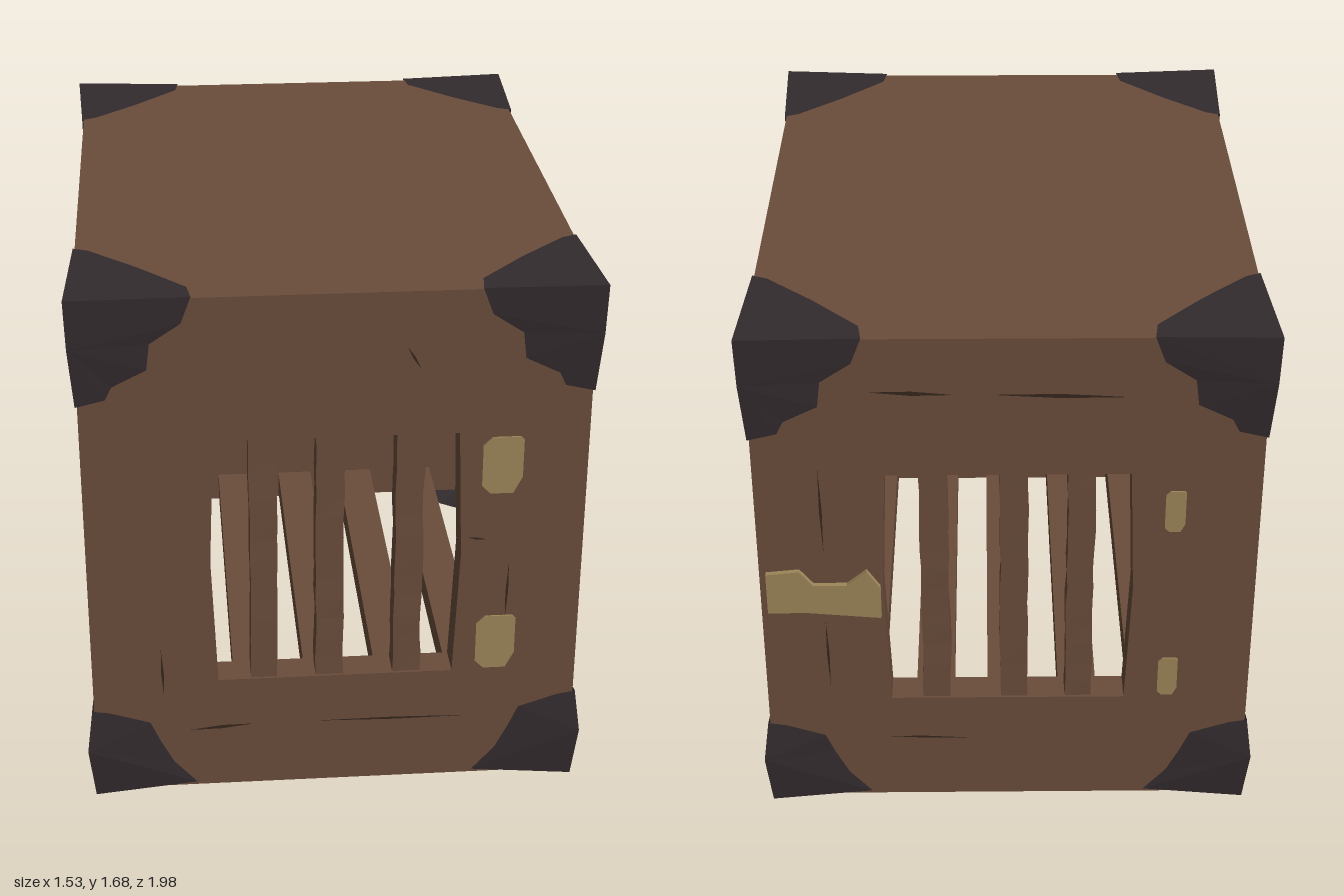
import * as THREE from 'three';

const mat = (name, color, side = THREE.FrontSide) =>
  Object.assign(new THREE.MeshStandardMaterial({ color, flatShading: true, side }), { name });

let seed = 7;
const rand = () => ((seed = (seed * 16807) % 2147483647) / 2147483647) - 0.5;

export function createModel() {
  const root = new THREE.Group();
  root.name = 'slattedCrate';
  const wood = mat('brown wood', 0x6a4d3b);
  const iron = mat('dark iron', 0x332b2e, THREE.DoubleSide);
  const brass = mat('dull brass', 0x9d865a);
  const crackMat = mat('dark crack', 0x35261d, THREE.DoubleSide);

  const add = (parent, name, geo, material, x = 0, y = 0, z = 0) => {
    const m = new THREE.Mesh(geo, material);
    m.name = name;
    m.position.set(x, y, z);
    parent.add(m);
    return m;
  };
  const polygon = (pts) => new THREE.Shape(pts.map(([x, y]) => new THREE.Vector2(x, y)));
  const plate = (pts, depth) => new THREE.ExtrudeGeometry(polygon(pts), { depth, bevelEnabled: false });
  const rect = (x0, y0, x1, y1) => [[x0, y0], [x1, y0], [x1, y1], [x0, y1]];

  const BOTTOM = 0.015, TOP = 1.67, T = 0.1;

  // Wooden bar, roughened level by level; all corners of a level are moved by the same rule
  const barGeometry = (w, h, d, rough) => {
    const geo = new THREE.BoxGeometry(w, h, d, 1, 12, 1);
    const p = geo.attributes.position;
    const levels = Array.from({ length: 13 }, () => [rand(), rand(), 1 + rand() * rough * 12]);
    for (let i = 0; i < p.count; i++) {
      const k = Math.round((p.getY(i) / h + 0.5) * 12);
      const [a, b, s] = levels[k];
      p.setX(i, p.getX(i) * s + a * rough);
      p.setZ(i, p.getZ(i) + b * rough * (p.getX(i) > 0 ? 0.5 : 0.2));
    }
    return geo;
  };

  // Framed panel with upright bars, facing +z; bars are [centre, width, roughness]
  const barredPanel = (name, halfW, hole, bars) => {
    const g = new THREE.Group();
    g.name = name;
    const shape = polygon(rect(-halfW, BOTTOM, halfW, TOP - 0.005));
    const [hw, y0, y1, bow] = hole;
    const ym = (y0 + y1) / 2;
    shape.holes.push(polygon([[-hw + bow, y0], [-hw, ym], [-hw + bow, y1],
      [hw - bow, y1], [hw, ym], [hw - bow, y0]]));
    add(g, 'panelFrame', new THREE.ExtrudeGeometry(shape, { depth: T, bevelEnabled: false }), wood, 0, 0, -T);
    bars.forEach(([c, w, rough]) =>
      add(g, 'bar', barGeometry(w, y1 - y0 + 0.02, 0.084, rough), wood, c, ym, -T / 2));
    root.add(g);
    return g;
  };

  // End panels
  const endBars = [[-0.216, 0.08, 0.005], [-0.018, 0.083, 0.005], [0.218, 0.083, 0.005]];
  const front = barredPanel('frontPanel', 0.64, [0.374, 0.4, 1.22, 0.016], endBars);
  front.position.z = 0.968;
  const back = barredPanel('backPanel', 0.64, [0.374, 0.4, 1.22, 0.016], endBars.map(([c, w, r]) => [-c, w, r]));
  back.position.z = -0.968;
  back.rotation.y = Math.PI;

  // Side panels, with two splintered bars each
  for (const s of [1, -1]) {
    const bars = [[0.56, 0.078, 0.006], [0.335, 0.078, 0.006], [0.11, 0.07, 0.028],
      [-0.118, 0.045, 0.028], [-0.342, 0.08, 0.008], [-0.565, 0.078, 0.006]];
    const side = barredPanel(s > 0 ? 'leftPanel' : 'rightPanel', 0.968, [0.757, 0.22, 1.42, 0.006],
      bars.map(([c, w, r]) => [-s * c, w, r]));
    side.position.x = s * 0.74;
    side.rotation.y = s * Math.PI / 2;
  }

  // Roof and floor slats
  add(root, 'roof', new THREE.BoxGeometry(1.48, 0.08, 1.936), wood, 0, TOP - 0.04, 0);
  for (let i = -2; i <= 2; i++)
    add(root, 'floorSlat', new THREE.BoxGeometry(0.125, 0.09, 1.76), wood, i * 0.235, 0.075, 0);

  // Hinge plates and latch
  const hinge = (parent, x, y, w, h) => {
    const a = w / 2, b = h / 2, c = w * 0.22;
    add(parent, 'hingePlate', plate([[-a, -b + c], [-a + c, -b], [a - c, -b], [a, -b + c * 2],
      [a, b - c * 0.4], [a - c * 0.4, b], [-a + c, b], [-a, b - c]], 0.005), brass, x, y, 0);
  };
  for (const y of [1.11, 0.5]) {
    hinge(front, 0.488, y, 0.12, 0.185);
    hinge(back, 0.49, y - 0.02, 0.06, 0.14);
  }
  add(back, 'latch', plate([[-0.72, 0.74], [-0.6, 0.74], [-0.38, 0.72], [-0.38, 0.83], [-0.42, 0.89],
    [-0.48, 0.84], [-0.58, 0.84], [-0.62, 0.89], [-0.72, 0.88]], 0.016), brass);

  // Cracks in the wood: thin slivers from one point to another
  const crack = (parent, x0, y0, x1, y1, w = 0.008) => {
    const len = Math.hypot(x1 - x0, y1 - y0), nx = -(y1 - y0) / len * w / 2, ny = (x1 - x0) / len * w / 2;
    const mx = (x0 + x1) / 2, my = (y0 + y1) / 2;
    add(parent, 'crack', new THREE.ShapeGeometry(polygon(
      [[x0, y0], [mx - nx, my - ny], [x1, y1], [mx + nx, my + ny]])), crackMat, 0, 0, 0.002);
  };
  [[-0.45, 0.222, -0.25, 0.236, 0.012], [-0.07, 0.236, 0.42, 0.232], [-0.53, 0.52, -0.525, 0.35],
    [0.52, 0.78, 0.515, 0.58], [0.2, 1.5, 0.24, 1.43], [0.39, 0.87, 0.45, 0.86]].forEach((c) => crack(front, ...c));
  [[-0.4, 1.5, -0.15, 1.49, 0.014], [-0.05, 1.49, 0.35, 1.48, 0.014], [-0.4, 0.25, -0.1, 0.24],
    [-0.55, 0.7, -0.545, 0.45], [-0.55, 1.25, -0.545, 0.95]].forEach((c) => crack(back, ...c));

  // Corner caps: three ragged-edged faces fanned around the corner and a point on its upright edge.
  // frontEdge lists [x, distance from the end], sideEdge lists [z, distance from the end],
  // flatEdge lists [x, z] across the top or bottom.
  const capGeometry = (frontEdge, sideEdge, flatEdge, corner, mid, y0, dir, sx, sz) => {
    const F = frontEdge.map(([x, d]) => [x, y0 + dir * d, 0.973]);
    const S = sideEdge.map(([z, d]) => [0.745, y0 + dir * d, z]);
    F[F.length - 1] = S[S.length - 1] = [0.746, F[F.length - 1][1], 0.974];
    const tris = [];
    const fan = (c, pts) => pts.slice(1).forEach((p, i) => tris.push([c, pts[i], p]));
    fan(mid, [corner, ...F]);
    fan(mid, [...S.reverse(), corner]);
    fan(corner, [S[S.length - 1], ...flatEdge.map(([x, z]) => [x, y0, z]), F[0]]);
    const flip = sx * sz * -dir < 0;
    const pos = tris.flatMap(([a, b, c]) => (flip ? [a, c, b] : [a, b, c]))
      .flatMap(([x, y, z]) => [x * sx, y, z * sz]);
    const geo = new THREE.BufferGeometry();
    geo.setAttribute('position', new THREE.Float32BufferAttribute(pos, 3));
    geo.computeVertexNormals();
    return geo;
  };
  const topFront = [[0.41, 0], [0.44, 0.08], [0.53, 0.14], [0.54, 0.22], [0.64, 0.27], [0.66, 0.31], [0.745, 0.33]];
  const topSide = [[0.59, 0], [0.61, 0.08], [0.79, 0.22], [0.83, 0.27], [0.9, 0.32], [0.974, 0.33]];
  const lowFront = [[0.43, 0.02], [0.5, 0.1], [0.54, 0.18], [0.57, 0.25], [0.69, 0.29], [0.745, 0.3]];
  const lowSide = [[0.61, 0.02], [0.62, 0.06], [0.68, 0.11], [0.78, 0.14], [0.85, 0.21], [0.88, 0.28], [0.974, 0.3]];
  const topFlat = [[0.7, 0.61], [0.56, 0.745], [0.42, 0.9]];
  const lowFlat = [[0.565, 0.775]];
  for (const sx of [1, -1]) for (const sz of [1, -1]) {
    add(root, 'topCornerCap', capGeometry(topFront, topSide, topFlat,
      [0.764, 1.68, 0.99], [0.76, 1.53, 0.988], 1.675, -1, sx, sz), iron);
    add(root, 'bottomCornerCap', capGeometry(lowFront, lowSide, lowFlat,
      [0.746, 0, 0.977], [0.764, 0.17, 0.99], 0.008, 1, sx, sz), iron);
  }
  return root;
}
